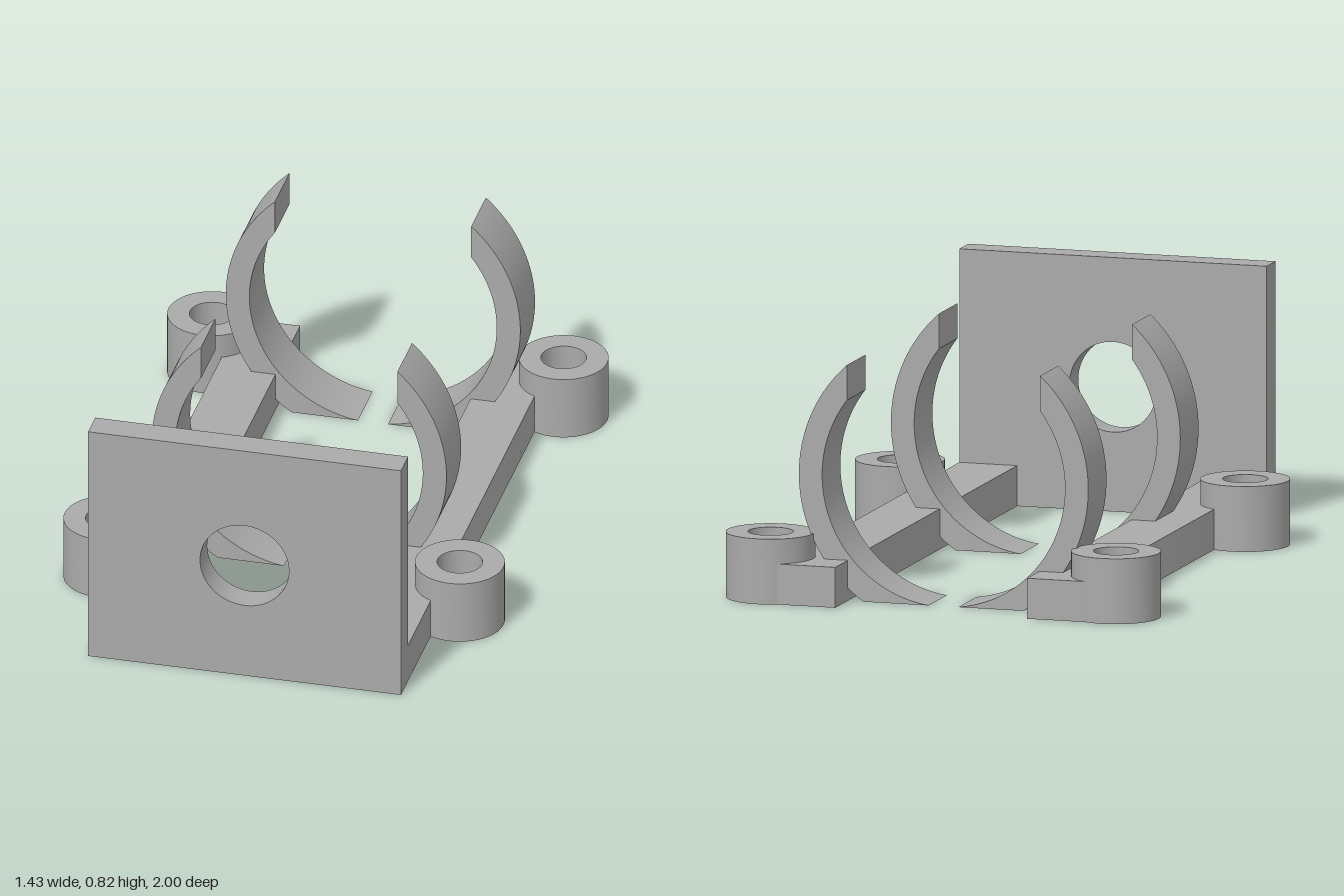
import * as THREE from 'three';
import { toCreasedNormals } from 'three/addons/utils/BufferGeometryUtils.js';

const RAIL_IN = 0.318, RAIL_OUT = 0.51, RAIL_H = 0.13;
const BOSS_X = 0.573, BOSS_R = 0.142, BORE_R = 0.072, BOSS_H = 0.21;
const BOSS_Z = [0.487, -0.857];
const AXIS_Y = 0.4;

const extrude = (shape, depth) => toCreasedNormals(
  new THREE.ExtrudeGeometry(shape, { depth, bevelEnabled: false, curveSegments: 40 }), 0.6);

export function createModel() {
  const group = new THREE.Group();
  const grey = new THREE.MeshStandardMaterial({ color: 0xaaaaaa });
  grey.name = 'grey plastic';
  const add = (name, geometry, x = 0, y = 0, z = 0) => {
    const mesh = new THREE.Mesh(geometry, grey);
    mesh.name = name;
    mesh.position.set(x, y, z);
    group.add(mesh);
    return mesh;
  };

  // Upright front plate with a round hole
  const plate = new THREE.Shape();
  plate.moveTo(-RAIL_OUT, 0).lineTo(RAIL_OUT, 0).lineTo(RAIL_OUT, 0.816).lineTo(-RAIL_OUT, 0.816).closePath();
  plate.holes.push(new THREE.Path().absarc(0, AXIS_Y, 0.145, 0, Math.PI * 2, true));
  add('frontPlate', extrude(plate, 0.093), 0, 0, 0.907);

  // Side rail, notched where the screw bores graze its outer edge (shape y is -z)
  const rail = new THREE.Shape();
  const half = Math.acos((BOSS_X - RAIL_OUT) / BORE_R);
  rail.moveTo(RAIL_IN, -0.907).lineTo(RAIL_OUT, -0.907);
  for (const z of BOSS_Z) rail.absarc(BOSS_X, -z, BORE_R, Math.PI + half, Math.PI - half, true);
  rail.lineTo(RAIL_OUT, 0.985).lineTo(RAIL_IN, 0.985).closePath();
  const railGeo = extrude(rail, RAIL_H).rotateX(-Math.PI / 2);

  // Screw boss: a tube with a through bore
  const ring = new THREE.Shape().absarc(0, 0, BOSS_R, 0, Math.PI * 2, false);
  ring.holes.push(new THREE.Path().absarc(0, 0, BORE_R, 0, Math.PI * 2, true));
  const bossGeo = extrude(ring, BOSS_H).rotateX(-Math.PI / 2);

  // Clip arm: ring section cut flat at the floor and vertically at the tip
  const ro = 0.48, ri = 0.403, tip = 0.32;
  const arm = new THREE.Shape();
  arm.absarc(0, AXIS_Y, ro, -Math.asin(AXIS_Y / ro), Math.acos(tip / ro), false);
  arm.absarc(0, AXIS_Y, ri, Math.acos(tip / ri), -Math.asin(AXIS_Y / ri), true);
  arm.closePath();
  const armGeo = extrude(arm, 0.19).translate(0, 0, -0.095);

  for (const s of [1, -1]) {
    const side = s > 0 ? 'left' : 'right';
    const r = add(side + 'Rail', railGeo, 0, s > 0 ? 0 : RAIL_H, 0);
    if (s < 0) r.rotation.z = Math.PI;
    BOSS_Z.forEach((z, i) => add(side + (i ? 'Back' : 'Front') + 'ScrewBoss', bossGeo, s * BOSS_X, 0, z));
    [0.197, -0.76].forEach((z, i) => {
      const a = add(side + (i ? 'Back' : 'Front') + 'ClipArm', armGeo, 0, 0, z);
      if (s < 0) a.rotation.y = Math.PI;
    });
  }
  return group;
}
